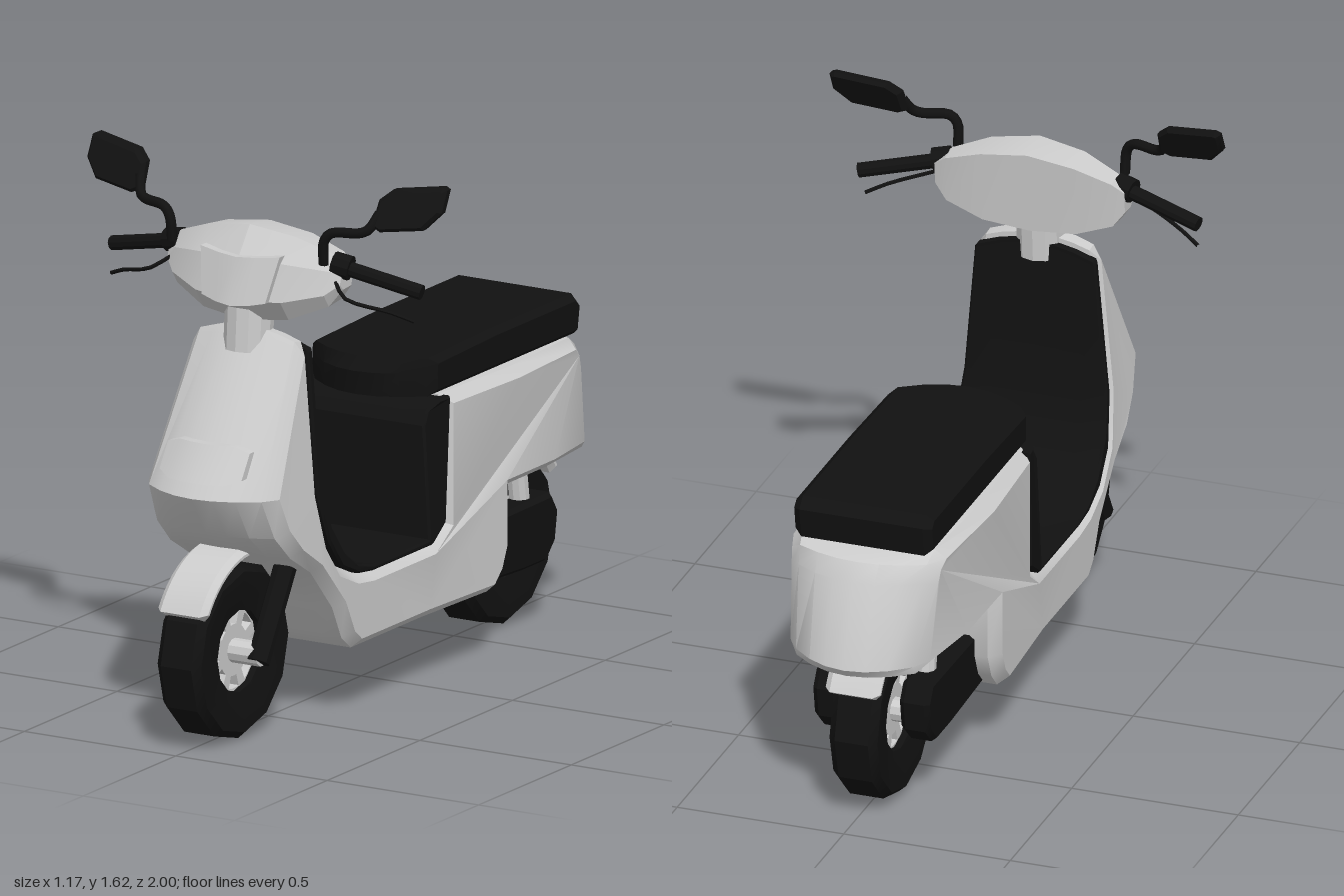
import * as THREE from 'three';
import { toCreasedNormals } from 'three/addons/utils/BufferGeometryUtils.js';

const V = (x, y, z) => new THREE.Vector3(x, y, z);
const grey = new THREE.MeshStandardMaterial({ color: 0xcccccc });
const black = new THREE.MeshStandardMaterial({ color: 0x111111 });
const light = new THREE.MeshStandardMaterial({ color: 0xffffff });

function add(parent, name, geo, mat, crease = 0.5) {
  const mesh = new THREE.Mesh(toCreasedNormals(geo, crease), mat);
  mesh.name = name;
  parent.add(mesh);
  return mesh;
}

// move every vertex by a rule
function deform(geo, rule) {
  const p = geo.attributes.position, v = V(0, 0, 0);
  for (let i = 0; i < p.count; i++) {
    rule(v.fromBufferAttribute(p, i));
    p.setXYZ(i, v.x, v.y, v.z);
  }
  return geo;
}

const shapeOf = (pts) => new THREE.Shape(pts.map(([a, b]) => new THREE.Vector2(a, b)));

// side profile in (z, y), extruded across x with chamfered ends
function sidePanel(shape, half, bevel, rule, steps = 6) {
  const depth = 2 * (half - bevel);
  const geo = new THREE.ExtrudeGeometry(shape, {
    depth, steps, curveSegments: 8, bevelSegments: 1,
    bevelThickness: bevel, bevelSize: bevel * 0.8, bevelOffset: -bevel * 0.8,
  });
  geo.translate(0, 0, -depth / 2).rotateY(-Math.PI / 2);
  return rule ? deform(geo, rule) : geo;
}

function rod(a, b, r0, r1 = r0, sides = 10) {
  const d = b.clone().sub(a);
  const geo = new THREE.CylinderGeometry(r1, r0, d.length(), sides);
  geo.applyQuaternion(new THREE.Quaternion().setFromUnitVectors(V(0, 1, 0), d.normalize()));
  const m = a.clone().add(b).multiplyScalar(0.5);
  return geo.translate(m.x, m.y, m.z);
}

// closed skin through rings of equal length, rings ordered by rising x
function loft(rings) {
  const n = rings[0].length, last = (rings.length - 1) * n, idx = [];
  for (let i = 0; i < rings.length - 1; i++) for (let k = 0; k < n; k++) {
    const a = i * n + k, b = i * n + (k + 1) % n;
    idx.push(a, b, a + n, b, b + n, a + n);
  }
  for (let k = 1; k < n - 1; k++) idx.push(0, k + 1, k, last, last + k, last + k + 1);
  const geo = new THREE.BufferGeometry().setFromPoints(rings.flat());
  geo.setIndex(idx);
  return geo;
}

// body plan: half-width along the scooter, bowed nose and tail
const HALF = 0.25;
function bodyRule(v) {
  const u = v.x / HALF, { y, z } = v;
  const w = z < -0.05 ? 0.25 - 0.15 * (z + 0.45) ** 2 : 0.23 - Math.max(0, y - 0.55) * 0.08;
  v.x = u * w;
  if (z > 0.59) v.z -= 0.1 * u * u * (z - 0.59) / 0.325;
  if (z < -0.75) v.z += 0.12 * u * u * (-0.75 - z) / 0.25;
  if (y > 1.1) v.y -= 0.04 * u * u;
}

function addBody(g) {
  const outer = [[0.58, 1.165], [0.62, 1.17], [0.637, 1.15], [0.915, 0.73], [0.84, 0.61], [0.74, 0.535],
    [0.6, 0.47], [0.48, 0.34], [0.43, 0.24], [0.38, 0.2], [0, 0.2], [-0.33, 0.2], [-0.38, 0.25],
    [-0.41, 0.32], [-0.41, 0.49], [-0.65, 0.488], [-0.98, 0.485], [-1, 0.51], [-0.925, 0.75],
    [-0.89, 0.8], [-0.82, 0.83], [-0.45, 0.83], [-0.09, 0.83]];
  const inner = [[-0.09, 0.46], [-0.02, 0.41], [0.3, 0.41], [0.38, 0.42], [0.47, 0.46], [0.54, 0.55], [0.585, 0.7]];
  add(g, 'body', sidePanel(shapeOf([...outer, ...inner]), HALF, 0.035, bodyRule), grey);

  // black lining of the shield, floor and seat column
  const lining = [[-0.11, 0.825], ...inner, [0.582, 1.15], [0.555, 1.15], [0.56, 0.72], [0.52, 0.59],
    [0.45, 0.495], [0.38, 0.447], [0.3, 0.428], [0, 0.43], [0.005, 0.76], [-0.02, 0.8], [-0.06, 0.825]];
  add(g, 'footwellLining', sidePanel(shapeOf(lining), 0.248, 0.008, bodyRule), black);

  // seat with rounded front
  const seat = [[0.03, 0.83], [0.04, 0.9], [0.015, 0.94], [-0.4, 0.95], [-0.83, 0.95], [-0.86, 0.92], [-0.845, 0.83]];
  add(g, 'seat', sidePanel(shapeOf(seat), 0.207, 0.022, (v) => {
    if (v.z > -0.1) v.z -= 2.6 * v.x * v.x * (v.z + 0.1) / 0.14;
  }), black);

  // lamp on the nose
  const lamp = deform(new THREE.BoxGeometry(0.27, 0.1, 0.05, 6, 1, 1), (v) => {
    if (Math.abs(v.x) > 0.12) v.y *= 0.7;
    v.y += 0.825;
    v.z += 0.915 - (v.y - 0.73) * 0.65 - 1.9 * v.x * v.x;
  });
  add(g, 'noseLamp', lamp, light);
}

function addHandlebar(g) {
  // stations: x, bottom, top, front z, back z
  const half = [[0, 1.19, 1.46, 0.69, 0.49], [0.14, 1.205, 1.44, 0.665, 0.49],
    [0.25, 1.25, 1.4, 0.61, 0.5], [0.285, 1.3, 1.37, 0.58, 0.51]];
  const stations = [...half.slice(1).reverse().map(([x, ...r]) => [-x, ...r]), ...half];
  const ring = [[0, 0.95], [0.55, 1], [0.85, 0.7], [1, 0.25], [0.75, 0], [0.1, 0.05]];
  add(g, 'handlebarCowl', loft(stations.map(([x, y0, y1, zf, zb]) =>
    ring.map(([d, h]) => V(x, y0 + h * (y1 - y0), zb + d * (zf - zb))))), grey, 0.3);
  const headlight = deform(new THREE.BoxGeometry(2, 0.135, 0.05, 4, 1, 1), (v) => {
    const x = v.x;
    v.x *= v.y > 0 ? 0.13 : 0.105;
    v.y += 1.315 + (v.y > 0 ? 0.01 : 0.015) * x * x;
    v.z += 0.685 - (v.y - 1.2575) * 0.25 - 0.18 * Math.abs(v.x);
  });
  add(g, 'headlight', headlight, light);
  add(g, 'neck', rod(V(0, 1.1, 0.61), V(0, 1.24, 0.6), 0.07, 0.07, 12), grey);

  for (const s of [-1, 1]) {
    const side = new THREE.Group();
    side.name = s > 0 ? 'leftControls' : 'rightControls';
    add(side, 'grip', rod(V(s * 0.24, 1.37, 0.555), V(s * 0.51, 1.31, 0.505), 0.022), black);
    add(side, 'gripCollar', rod(V(s * 0.25, 1.37, 0.555), V(s * 0.3, 1.36, 0.545), 0.036), black);
    const lever = new THREE.CatmullRomCurve3([V(s * 0.27, 1.325, 0.58), V(s * 0.32, 1.29, 0.61),
      V(s * 0.44, 1.255, 0.56), V(s * 0.5, 1.23, 0.53)]);
    add(side, 'brakeLever', new THREE.TubeGeometry(lever, 8, 0.006, 5), black, 1);
    const stem = new THREE.CatmullRomCurve3([V(s * 0.25, 1.38, 0.61), V(s * 0.255, 1.45, 0.615),
      V(s * 0.275, 1.475, 0.61), V(s * 0.35, 1.48, 0.585), V(s * 0.375, 1.49, 0.575), V(s * 0.395, 1.535, 0.545)]);
    add(side, 'mirrorStem', new THREE.TubeGeometry(stem, 18, 0.015, 7), black, 1);
    const outline = [[0.585, 1.615], [0.57, 1.622], [0.42, 1.6], [0.385, 1.57], [0.38, 1.5], [0.41, 1.487], [0.54, 1.505], [0.585, 1.555]];
    const mirror = new THREE.ExtrudeGeometry(shapeOf(outline.map(([x, y]) => [s * x, y])), {
      depth: 0.02, bevelSegments: 1, bevelThickness: 0.012, bevelSize: 0.01, bevelOffset: -0.01,
    });
    add(side, 'mirror', deform(mirror, (v) => {
      v.z += 0.55 - (v.y - 1.49) * 0.5 - 0.08 * (Math.abs(v.x) - 0.38);
    }), black);
    g.add(side);
  }
}

function addWheel(g, name, z) {
  const wheel = new THREE.Group();
  wheel.name = name;
  wheel.position.set(0, 0.255, z);
  const tyre = [[0.12, -0.055], [0.19, -0.07], [0.235, -0.072], [0.255, -0.05], [0.255, 0.05], [0.235, 0.072],
    [0.19, 0.07], [0.12, 0.055], [0.12, -0.055]].map(([r, y]) => new THREE.Vector2(r, y));
  add(wheel, 'tyre', new THREE.LatheGeometry(tyre, 12).rotateZ(Math.PI / 2), black, 0.4);
  // rim disc with eight windows
  const rim = new THREE.Shape().absarc(0, 0, 0.135, 0, Math.PI * 2);
  for (let i = 0; i < 8; i++) {
    const a = i * Math.PI / 4, hole = new THREE.Path();
    hole.absarc(0, 0, 0.112, a - 0.24, a + 0.24, false);
    hole.absarc(0, 0, 0.075, a + 0.2, a - 0.2, true);
    rim.holes.push(hole);
  }
  const disc = new THREE.ExtrudeGeometry(rim, { depth: 0.07, bevelEnabled: false, curveSegments: 8 });
  add(wheel, 'rim', disc.translate(0, 0, -0.035).rotateY(Math.PI / 2), light);
  add(wheel, 'axle', rod(V(-0.13, 0, 0), V(0.13, 0, 0), 0.035), grey);
  g.add(wheel);
}

function addFender(g, name, z, from, to) {
  const a = from * Math.PI / 180, b = to * Math.PI / 180;
  const arc = new THREE.Shape();
  arc.absarc(z, 0.255, 0.305, a, b, false);
  arc.absarc(z, 0.255, 0.268, b, a, true);
  add(g, name, sidePanel(arc, 0.082, 0.018, null, 1), grey, 0.6);
}

export function createModel() {
  const g = new THREE.Group();
  g.name = 'scooter';
  addBody(g);
  addHandlebar(g);
  addWheel(g, 'frontWheel', 0.745);
  addWheel(g, 'rearWheel', -0.685);
  addFender(g, 'frontFender', 0.715, 30, 130);
  addFender(g, 'rearFender', -0.68, 30, 150);

  // fork legs, swing arm covers and shock absorbers
  const arm = [[-0.3, 0.205], [-0.3, 0.38], [-0.75, 0.385], [-0.785, 0.33], [-0.77, 0.24], [-0.72, 0.19], [-0.6, 0.19]];
  for (const s of [-1, 1]) {
    add(g, 'forkLeg', rod(V(s * 0.125, 0.235, 0.76), V(s * 0.125, 0.57, 0.56), 0.034), black);
    const cover = add(g, 'swingArmCover', sidePanel(shapeOf(arm), 0.045, 0.015, null, 1), black);
    cover.position.x = s * 0.13;
    add(g, 'shockAbsorber', rod(V(s * 0.12, 0.3, -0.67), V(s * 0.12, 0.53, -0.635), 0.03), grey);
  }
  return g;
}
